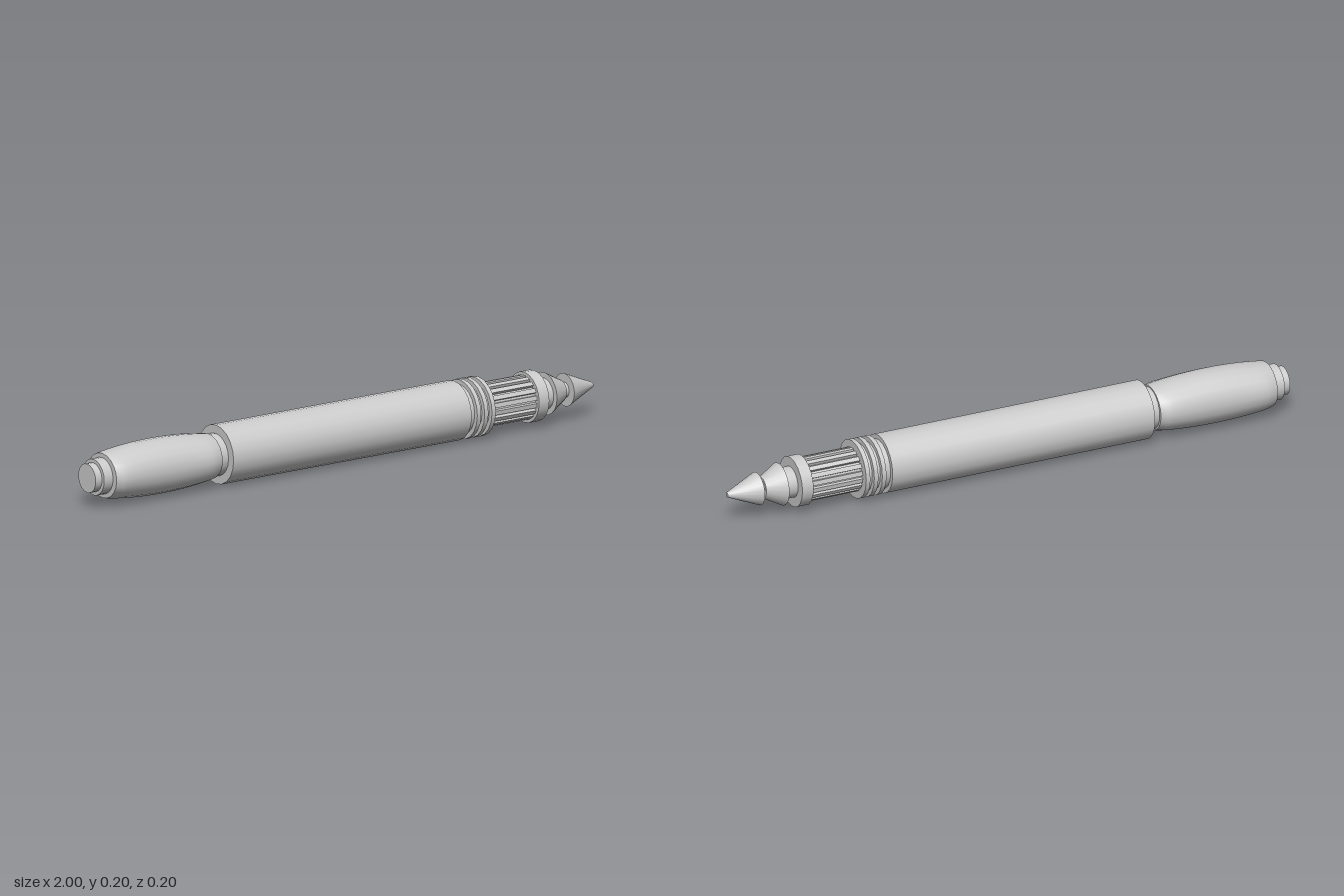
import * as THREE from 'three';
import { mergeVertices, toCreasedNormals } from 'three/addons/utils/BufferGeometryUtils.js';

const SIDES = 20;
const AXIS_Y = 0.098;

export function createModel() {
  const model = new THREE.Group();
  const material = new THREE.MeshStandardMaterial({ color: 0xcccccc });

  const add = (name, geometry) => {
    const mesh = new THREE.Mesh(geometry, material);
    mesh.name = name;
    mesh.position.y = AXIS_Y;
    model.add(mesh);
    return mesh;
  };

  // Round section along x, from x0 (radius r0) to x1 (radius r1)
  const section = (name, x0, x1, r0, r1 = r0) => {
    const g = new THREE.CylinderGeometry(r1, r0, x1 - x0, SIDES);
    g.rotateZ(-Math.PI / 2);
    g.translate((x0 + x1) / 2, 0, 0);
    return add(name, g);
  };

  // Rear end
  section('endButton', -1, -0.97, 0.048);
  section('endCollar', -0.975, -0.93, 0.06);
  section('neck', -0.53, -0.48, 0.07);

  // Grip: gently bulging in height, nearly constant in width with rounded ends
  let grip = new THREE.CylinderGeometry(1, 1, 2, SIDES, 20);
  grip.rotateZ(-Math.PI / 2);
  const p = grip.attributes.position;
  for (let i = 0; i < p.count; i++) {
    const t = p.getX(i);
    const height = 0.074 + 0.017 * (1 - t * t);
    const width = 0.08 + 0.013 * (1 - t ** 12);
    p.setXYZ(i, -0.73 + 0.21 * t, p.getY(i) * height, p.getZ(i) * width);
  }
  grip.deleteAttribute('normal');
  grip.deleteAttribute('uv');
  grip = toCreasedNormals(mergeVertices(grip), 0.7);
  add('grip', grip);

  // Main barrel and the rings at its front
  section('barrel', -0.49, 0.453, 0.098);
  section('ringCore', 0.45, 0.545, 0.083);
  for (let i = 0; i < 3; i++) {
    const x = 0.475 + i * 0.029;
    section('ring', x, x + 0.015, 0.098);
  }

  // Ribbed section
  section('ribCore', 0.54, 0.735, 0.063);
  const RIBS = 18;
  for (let i = 0; i < RIBS; i++) {
    const a = (i / RIBS) * Math.PI * 2;
    const g = new THREE.BoxGeometry(0.195, 0.014, 0.015);
    g.translate(0.6375, 0.066, 0);
    g.rotateX(a);
    add('rib', g);
  }

  // Collar and stepped point
  section('frontCollar', 0.73, 0.77, 0.084);
  section('frontNeck', 0.765, 0.815, 0.052);
  section('lowerCone', 0.81, 0.875, 0.071, 0.035);
  section('coneNeck', 0.87, 0.895, 0.026);
  section('tipCone', 0.89, 1, 0.055, 0.008);

  return model;
}
